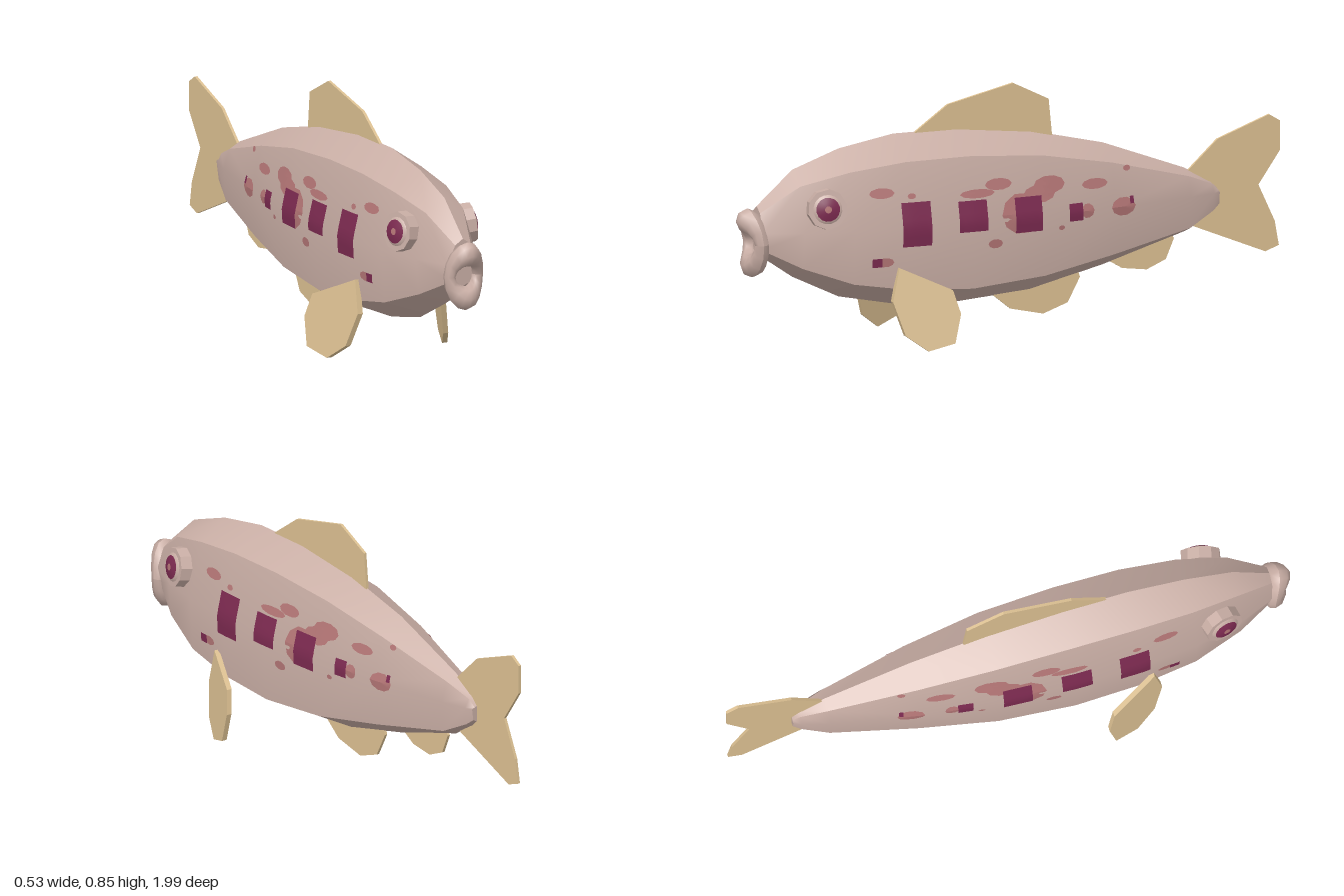
import * as THREE from 'three';

const mat = (name, color, side = THREE.FrontSide) => {
  const m = new THREE.MeshStandardMaterial({ color, side });
  m.name = name;
  return m;
};

// Body stations: z, topY, shoulderY, shoulderX, midX, lowX, lowY, bottomY
const STATIONS = [
  [0.92, 0.505, 0.485, 0.03, 0.058, 0.045, 0.36, 0.34],
  [0.79, 0.62, 0.575, 0.072, 0.112, 0.098, 0.295, 0.25],
  [0.62, 0.68, 0.615, 0.1, 0.15, 0.138, 0.235, 0.168],
  [0.42, 0.715, 0.638, 0.113, 0.166, 0.154, 0.203, 0.127],
  [0.19, 0.715, 0.64, 0.115, 0.169, 0.157, 0.19, 0.115],
  [-0.08, 0.685, 0.62, 0.108, 0.155, 0.143, 0.21, 0.135],
  [-0.35, 0.622, 0.568, 0.083, 0.12, 0.106, 0.255, 0.2],
  [-0.65, 0.51, 0.488, 0.04, 0.063, 0.055, 0.312, 0.29],
  [-0.745, 0.455, 0.45, 0.02, 0.036, 0.03, 0.36, 0.348],
  [-0.77, 0.43, 0.425, 0.014, 0.025, 0.02, 0.38, 0.37],
];
const MID_Y = 0.42;

// Right half outline of one station, from the back ridge to the belly keel
const outline = ([z, ty, sy, sx, mx, lx, ly, by]) => [
  [0, ty, z], [sx, sy, z], [mx, Math.min(MID_Y, (sy + ly) / 2 + 0.03), z], [lx, ly, z], [0, by, z],
];

// Half-width of the flank at (z, y)
function flankX(z, y) {
  let i = 0;
  while (i < STATIONS.length - 2 && STATIONS[i + 1][0] > z) i++;
  const a = STATIONS[i], b = STATIONS[i + 1];
  const t = (a[0] - z) / (a[0] - b[0]);
  const o = outline(a.map((v, k) => v + (b[k] - v) * t));
  const [p, q] = y > o[2][1] ? [o[1], o[2]] : [o[2], o[3]];
  return p[0] + ((q[0] - p[0]) * (p[1] - y)) / (p[1] - q[1]);
}

// Smooth strip between outline columns; separate strips keep the ridges sharp
function strip(from, to) {
  const pos = [], idx = [], n = to - from + 1;
  STATIONS.forEach((s) => outline(s).slice(from, to + 1).forEach((p) => pos.push(...p)));
  for (let i = 0; i < STATIONS.length - 1; i++) {
    for (let j = 0; j < n - 1; j++) {
      const a = i * n + j, b = a + 1, c = a + n, d = c + 1;
      idx.push(a, b, c, b, d, c);
    }
  }
  const g = new THREE.BufferGeometry();
  g.setAttribute('position', new THREE.Float32BufferAttribute(pos, 3));
  g.setIndex(idx);
  g.computeVertexNormals();
  return g;
}

// Flat end of the body
function cap(station) {
  const g = new THREE.BufferGeometry();
  g.setAttribute('position', new THREE.Float32BufferAttribute(outline(station).flat(), 3));
  g.setIndex([0, 1, 2, 0, 2, 3, 0, 3, 4]);
  g.computeVertexNormals();
  return g;
}

// Fin from [z, y] points, extruded across x
function finGeometry(points, thick) {
  const shape = new THREE.Shape(points.map(([z, y]) => new THREE.Vector2(-z, y)));
  const g = new THREE.ExtrudeGeometry(shape, { depth: thick, bevelEnabled: false });
  return g.translate(0, 0, -thick / 2).rotateY(Math.PI / 2);
}

// Lay a flat outline of (z, y) on the flank
function patch(geo, z, y, w, h, lift) {
  const p = geo.attributes.position;
  for (let i = 0; i < p.count; i++) {
    const pz = z + p.getX(i) * w, py = y + p.getY(i) * h;
    p.setXYZ(i, flankX(pz, py) + lift, py, pz);
  }
  geo.computeVertexNormals();
  return geo;
}

export function createModel() {
  const skin = mat('skin', 0xc9aea5);
  const skinTwoSided = mat('skinTwoSided', 0xc9aea5, THREE.DoubleSide);
  const finTan = mat('finTan', 0xdcc092);
  const plum = mat('plum', 0x7c2a50, THREE.DoubleSide);
  const rose = mat('rose', 0xb47676, THREE.DoubleSide);

  const model = new THREE.Group();
  model.name = 'fish';
  const add = (parent, name, geo, material) => {
    const m = new THREE.Mesh(geo, material);
    m.name = name;
    parent.add(m);
    return m;
  };

  // Fins on the centre line
  const centreFins = {
    dorsalFin: [[0.36, 0.7], [0.22, 0.8], [-0.02, 0.855], [-0.15, 0.79], [-0.165, 0.64], [0.1, 0.66]],
    tailFin: [[-0.64, 0.48], [-0.77, 0.6], [-0.96, 0.67], [-1, 0.645], [-1, 0.545], [-0.92, 0.43],
      [-0.98, 0.3], [-0.995, 0.215], [-0.945, 0.197], [-0.67, 0.31]],
    pelvicFin: [[0.07, 0.14], [-0.01, 0.075], [-0.13, 0.048], [-0.22, 0.08], [-0.265, 0.165], [-0.25, 0.21]],
    analFin: [[-0.34, 0.23], [-0.42, 0.182], [-0.51, 0.17], [-0.58, 0.2], [-0.61, 0.27], [-0.58, 0.32]],
  };
  for (const [name, pts] of Object.entries(centreFins)) add(model, name, finGeometry(pts, 0.01), finTan);

  // Lips: an oval ring, thick above and below, pulled back at the corners
  const lips = new THREE.TorusGeometry(1, 0.4, 8, 16);
  const lp = lips.attributes.position;
  for (let i = 0; i < lp.count; i++) {
    const x = lp.getX(i), y = lp.getY(i), r = Math.hypot(x, y);
    const s = y / r, c = x / r, off = (r - 1) / 0.4, zz = lp.getZ(i) / 0.4;
    const bulk = s * s;
    lp.setXYZ(i, c * (0.053 + 0.019 * off), 0.38 + s * (0.078 + 0.042 * off),
      0.922 + 0.024 * bulk + 0.008 * s + zz * (0.026 + 0.014 * bulk));
  }
  lips.computeVertexNormals();
  add(model, 'lips', lips, skin);

  // Everything that is mirrored left and right
  const blobs = [
    [0.515, 0.54, 0.045, 0.018], [0.41, 0.525, 0.015, 0.01], [0.09, 0.54, 0.05, 0.02],
    [0.17, 0.515, 0.065, 0.015], [-0.1, 0.522, 0.06, 0.03], [-0.06, 0.495, 0.06, 0.03],
    [0.01, 0.435, 0.075, 0.07], [0.11, 0.34, 0.027, 0.016], [-0.275, 0.507, 0.05, 0.018],
    [-0.38, 0.42, 0.047, 0.032], [-0.14, 0.372, 0.012, 0.008], [-0.405, 0.545, 0.014, 0.01],
    [0.51, 0.305, 0.03, 0.016], [-0.24, 0.42, 0.025, 0.025],
  ];
  const bars = [
    [0.398, 0.43, 0.105, 0.15], [0.192, 0.442, 0.105, 0.105], [-0.015, 0.43, 0.1, 0.12],
    [-0.195, 0.42, 0.052, 0.06], [0.54, 0.305, 0.035, 0.03], [-0.413, 0.44, 0.015, 0.025],
  ];
  const pectoral = [[0.465, 0.285], [0.3, 0.21], [0.278, 0.13], [0.3, 0.03], [0.385, 0.003],
    [0.455, 0.055], [0.49, 0.17]];

  for (const [label, sign] of [['left', 1], ['right', -1]]) {
    const half = new THREE.Group();
    half.name = label + 'Half';
    half.scale.x = sign;
    model.add(half);

    // Body shell
    add(half, 'back', strip(0, 1), skin);
    add(half, 'flank', strip(1, 3), skin);
    add(half, 'belly', strip(3, 4), skin);
    add(half, 'noseCap', cap(STATIONS[0]), skinTwoSided);
    add(half, 'tailCap', cap(STATIONS[STATIONS.length - 1]), skinTwoSided);

    // Flank markings
    blobs.forEach(([z, y, w, h]) =>
      add(half, 'roseSpot', patch(new THREE.RingGeometry(0, 1, 10, 3), z, y, w, h, 0.002), rose));
    bars.forEach(([z, y, w, h]) =>
      add(half, 'plumBar', patch(new THREE.PlaneGeometry(1, 1, 5, 5), z, y, w, h, 0.004), plum));

    // Pectoral fin, slanted outward toward the rear and the bottom
    const fin = finGeometry(pectoral, 0.02);
    const fp = fin.attributes.position;
    for (let i = 0; i < fp.count; i++) {
      fp.setX(i, fp.getX(i) + 0.377 - 0.4 * fp.getZ(i) - 0.12 * fp.getY(i));
    }
    fin.computeVertexNormals();
    add(half, 'pectoralFin', fin, finTan);

    // Eye: short drum with a shallow dome and a pupil, axis along local y
    const eye = new THREE.Group();
    eye.name = 'eye';
    const drum = new THREE.CylinderGeometry(0.068, 0.07, 0.04, 10, 1).toNonIndexed();
    drum.computeVertexNormals();
    add(eye, 'eyeRim', drum, skin);
    const dome = [[0.05, 0.02], [0.042, 0.026], [0.025, 0.031], [0, 0.033]];
    const lathe = (pts) => new THREE.LatheGeometry(pts.map(([r, y]) => new THREE.Vector2(r, y)), 16);
    add(eye, 'eyeball', lathe(dome), skin);
    add(eye, 'pupil', lathe([[0.041, 0.028], [0.025, 0.033], [0.012, 0.035]]), plum);
    add(eye, 'glint', lathe([[0.012, 0.035], [0, 0.0355]]), rose);
    eye.position.set(0.127, 0.502, 0.715);
    eye.quaternion.setFromUnitVectors(new THREE.Vector3(0, 1, 0),
      new THREE.Vector3(1, 0.14, 0.24).normalize());
    half.add(eye);
  }
  return model;
}
